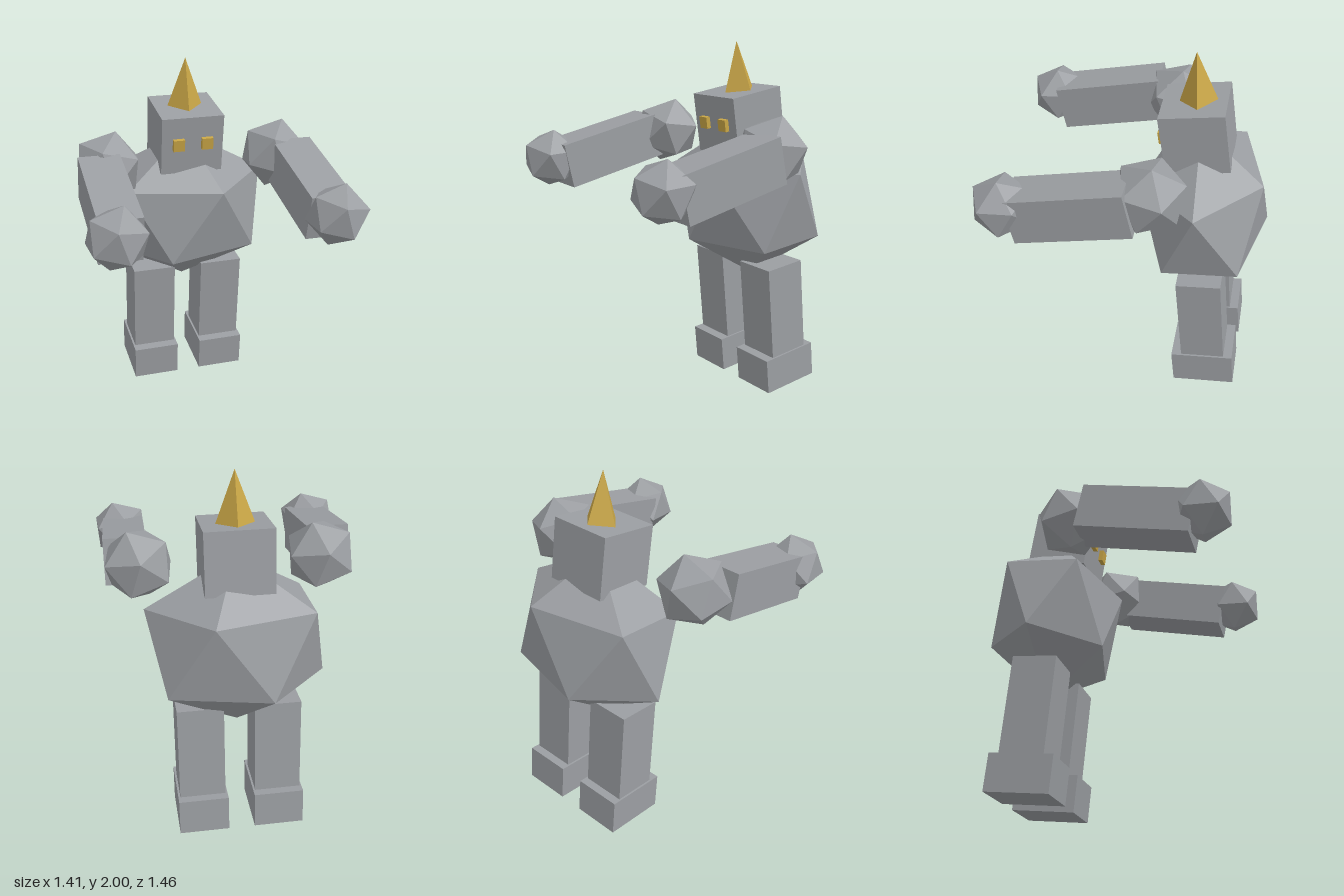
import * as THREE from 'three';
import { ConvexGeometry } from 'three/addons/geometries/ConvexGeometry.js';

const rad = THREE.MathUtils.degToRad;

// Twelve-point faceted ball: a pole at each end and two staggered rings of five.
function facetedBall(rx, ry, rz, yaw = 0) {
  const points = [new THREE.Vector3(0, ry, 0), new THREE.Vector3(0, -ry, 0)];
  for (let i = 0; i < 5; i++) {
    const a = rad(yaw + i * 72);
    const p = new THREE.Vector3(Math.cos(a) * 0.894 * rx, 0.447 * ry, Math.sin(a) * 0.894 * rz);
    points.push(p, p.clone().negate());
  }
  return new ConvexGeometry(points);
}

export function createModel() {
  const stone = new THREE.MeshStandardMaterial({ color: 0x9b9ea2 });
  stone.name = 'stone grey';
  stone.flatShading = true;
  const gold = new THREE.MeshStandardMaterial({ color: 0xc9a646 });
  gold.name = 'gold';
  gold.flatShading = true;

  const model = new THREE.Group();
  model.name = 'golem';

  function add(name, geometry, material, position, tilt = [0, 0, 0], parent = model) {
    const mesh = new THREE.Mesh(geometry, material);
    mesh.name = name;
    mesh.position.set(...position);
    mesh.rotation.set(...tilt.map(rad));
    parent.add(mesh);
    return mesh;
  }

  // Torso, leaning slightly forward
  add('torso', facetedBall(0.525, 0.47, 0.388), stone, [0.016, 1.1, -0.381], [5.3, 0, 0]);

  // Head with raised eyes
  const head = add('head', new THREE.BoxGeometry(0.354, 0.332, 0.34), stone, [0.013, 1.565, -0.323], [8.4, 0, 0]);
  for (const [side, x] of [['right', -0.082], ['left', 0.082]]) {
    add(side + 'Eye', new THREE.BoxGeometry(0.064, 0.066, 0.05), gold, [x, 0.012, 0.17], [0, 0, 0], head);
  }

  // Four-sided horn
  add('horn', new THREE.ConeGeometry(0.105, 0.285, 4), gold, [0.013, 1.858, -0.308], [5, 0, 0]);

  // Arms reaching forward, with faceted shoulders and hands
  const arms = [
    { side: 'right', shoulder: [-0.468, 1.46, -0.162], arm: [-0.539, 1.38, 0.235], hand: [-0.57, 1.352, 0.575] },
    { side: 'left', shoulder: [0.492, 1.46, -0.145], arm: [0.551, 1.38, 0.23], hand: [0.56, 1.352, 0.59] },
  ];
  for (const { side, shoulder, arm, hand } of arms) {
    add(side + 'Shoulder', facetedBall(0.197, 0.197, 0.197, -28), stone, shoulder, [-6, 0, -16]);
    add(side + 'Arm', new THREE.BoxGeometry(0.225, 0.25, 0.615), stone, arm, [12, -0.8, 0]);
    add(side + 'Hand', facetedBall(0.168, 0.168, 0.168, -40), stone, hand, [0, 0, -14]);
  }

  // Legs and feet
  for (const [side, x] of [['right', -0.191], ['left', 0.225]]) {
    add(side + 'Leg', new THREE.BoxGeometry(0.25, 0.655, 0.246), stone, [x, 0.43, -0.425], [5.2, 0, 0]);
    add(side + 'Foot', new THREE.BoxGeometry(0.272, 0.203, 0.352), stone, [x, 0.12, -0.45], [5.4, 0, 0]);
  }

  return model;
}
